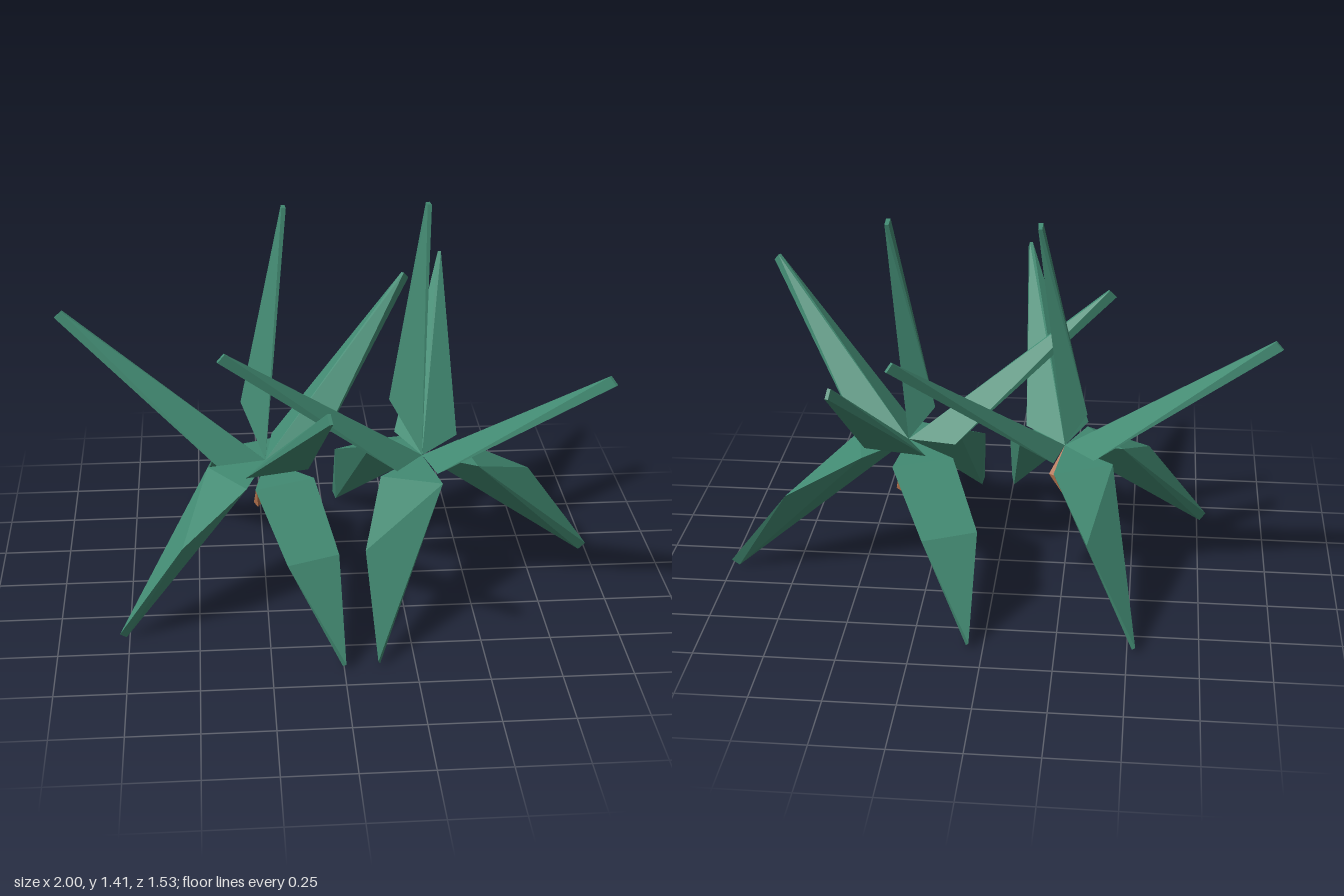
import * as THREE from 'three';
import { ConvexGeometry } from 'three/addons/geometries/ConvexGeometry.js';

const green = new THREE.MeshStandardMaterial({ color: 0x428a72 });
green.name = 'leafGreen';
const brown = new THREE.MeshStandardMaterial({ color: 0xb8744e });
brown.name = 'rootBrown';

const v = (x, y, z) => new THREE.Vector3(x, y, z);

function faceted(name, points, material) {
  const mesh = new THREE.Mesh(new ConvexGeometry(points), material);
  mesh.name = name;
  return mesh;
}

// Leaf points lie along +x; the angle runs from +x towards +z
function turned(name, points, degrees) {
  const mesh = faceted(name, points, green);
  mesh.rotation.y = -THREE.MathUtils.degToRad(degrees);
  return mesh;
}

// Rising blade: two low shoulders, a straight ridge and a chisel tip
function upperLeaf(degrees) {
  return turned('upperLeaf', [
    v(0, 0, 0), v(0.152, 0.017, 0.118), v(0.152, 0.017, -0.118),
    v(0.758, 0.527, -0.006), v(0.758, 0.527, 0.006),
    v(0.785, 0.5, -0.006), v(0.785, 0.5, 0.006),
  ], degrees);
}

// Drooping blade: broad flat base, one or two outer corners and a chisel tip
function lowerLeaf(degrees, reach, corners) {
  return turned('lowerLeaf', [
    v(0, 0, 0), v(0.18, -0.014, 0.115), v(0.18, -0.014, -0.115),
    ...corners.map((z) => v(reach - 0.215, -0.162, z)),
    v(reach, -0.472, 0), v(reach - 0.028, -0.495, 0),
  ], degrees);
}

// Nearly upright narrow blade with a single shoulder
function tallLeaf(tipX, shoulder) {
  return faceted('tallLeaf', [
    v(0, 0, 0), v(...shoulder),
    v(tipX - 0.008, 0.915, -0.17), v(tipX + 0.008, 0.913, -0.17),
    v(tipX - 0.008, 0.908, -0.22), v(tipX + 0.006, 0.908, -0.22),
  ], green);
}

// Small faceted root hanging under the leaves
function root(side) {
  return faceted('root', [
    v(0, 0, 0), v(-0.055 * side, -0.1, -0.04), v(0.035 * side, -0.1, 0.015),
    v(0.02 * side, -0.11, -0.07), v(0.045 * side, -0.19, -0.03),
    v(0.012 * side, -0.2, -0.05), v(0.03 * side, -0.2, -0.01),
  ], brown);
}

const plants = [
  {
    name: 'rightPlant', x: -0.243, upper: [-163.8, 76, -43],
    lower: [[143, 0.678, [-0.1]], [69.3, 0.705, [-0.072, 0.125]], [245, 0.678, [0.1]]],
    tall: [0.085, [-0.085, 0.183, -0.12]], rootSide: -1,
  },
  {
    name: 'leftPlant', x: 0.337, upper: [162.4, 42, -79],
    lower: [[108.6, 0.685, [0.1]], [-11.2, 0.678, [-0.1]], [245.7, 0.7, [-0.105, 0.1]]],
    tall: [0.028, [-0.115, 0.183, -0.105]], rootSide: 1,
  },
];

export function createModel() {
  const model = new THREE.Group();
  model.name = 'leafyPlants';
  for (const p of plants) {
    const plant = new THREE.Group();
    plant.name = p.name;
    plant.position.set(p.x, 0.497, 0);
    p.upper.forEach((angle) => plant.add(upperLeaf(angle)));
    p.lower.forEach((leaf) => plant.add(lowerLeaf(...leaf)));
    plant.add(tallLeaf(...p.tall), root(p.rootSide));
    model.add(plant);
  }
  return model;
}
